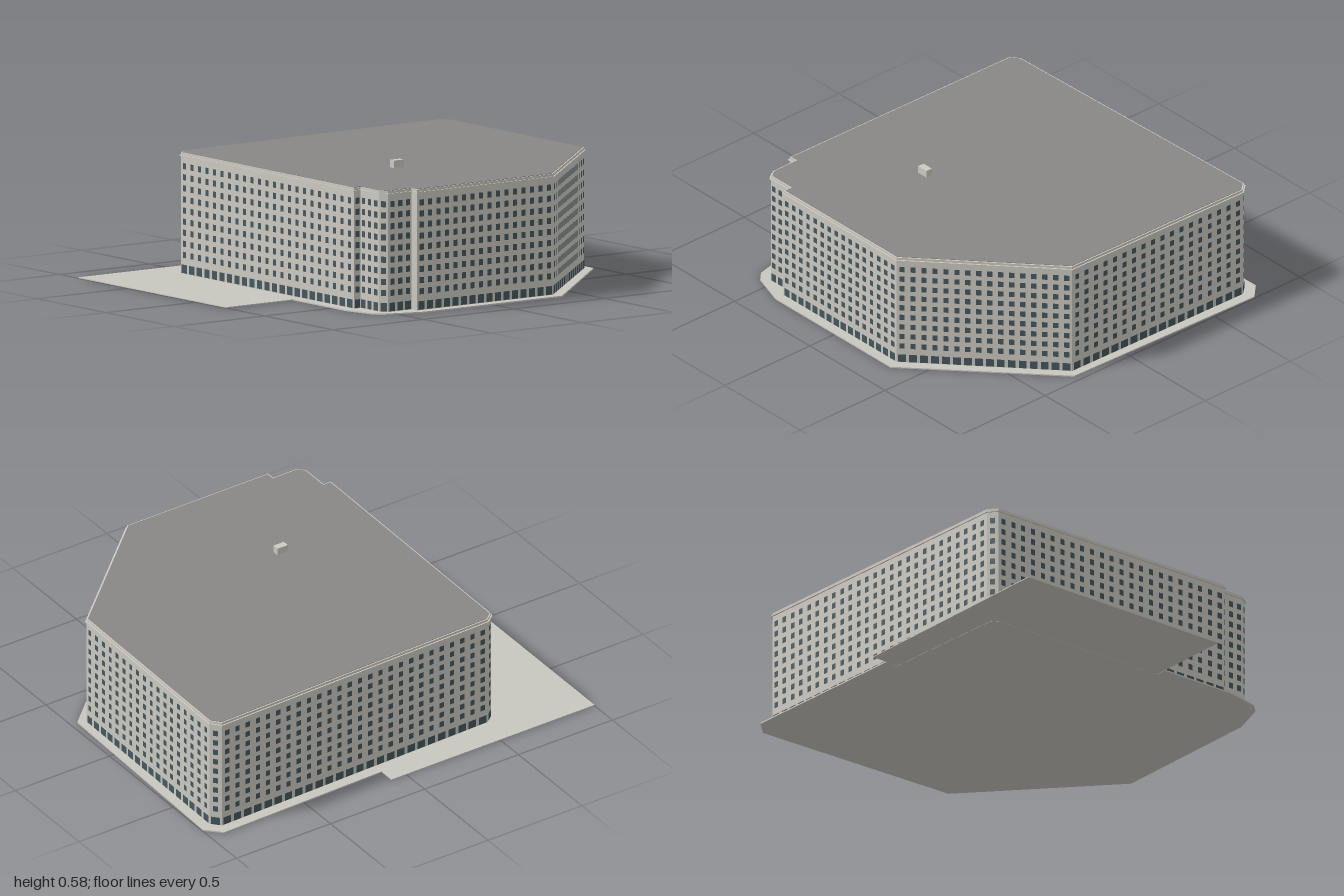
import * as THREE from 'three';
import { mergeGeometries } from 'three/addons/utils/BufferGeometryUtils.js';

const paint = (name, color) => {
  const m = new THREE.MeshStandardMaterial({ color });
  m.name = name;
  return m;
};

// Building footprint as [x, z, window columns on the wall that starts here]
const footprint = [
  [-0.57, -0.68, 1], [-0.53, -0.712, 26], [0.91, -0.752, 1], [0.947, -0.71, 18],
  [0.932, 0.28, 16], [0.36, 0.808, 16], [-0.39, 0.808, 0], [-0.39, 0.768, 3],
  [-0.52, 0.768, 1], [-0.545, 0.735, 3], [-0.545, 0.6, 1], [-0.583, 0.6, 23],
];

const pavement = [
  [-0.575, 0.22], [-0.63, 0.22], [-0.63, 0.61], [-0.595, 0.76], [-0.555, 0.8], [-0.39, 0.855],
  [0.375, 0.855], [0.968, 0.3], [0.997, -0.735], [0.93, -0.803], [0.08, -0.783],
  [0.08, -0.72], [-0.53, -0.7], [-0.565, -0.67],
];

// Moves a footprint outwards by d with mitred corners
function offset(points, d) {
  const normal = (a, b) => {
    const l = Math.hypot(b[0] - a[0], b[1] - a[1]);
    return [(b[1] - a[1]) / l, -(b[0] - a[0]) / l];
  };
  return points.map((p, i) => {
    const n = normal(points.at(i - 1), p);
    const m = normal(p, points[(i + 1) % points.length]);
    const k = d / (1 + n[0] * m[0] + n[1] * m[1]);
    return [p[0] + (n[0] + m[0]) * k, p[1] + (n[1] + m[1]) * k];
  });
}

// Upright prism over a ground outline
function prism(name, points, y0, y1, material) {
  const shape = new THREE.Shape(points.map(([x, z]) => new THREE.Vector2(x, -z)));
  const geo = new THREE.ExtrudeGeometry(shape, { depth: y1 - y0, bevelEnabled: false });
  geo.rotateX(-Math.PI / 2).translate(0, y0, 0);
  const mesh = new THREE.Mesh(geo, material);
  mesh.name = name;
  return mesh;
}

export function createModel() {
  const stone = paint('pale stone', 0xcbc9c0);
  const paving = paint('paving', 0xc8c7bf);
  const roofGrey = paint('roof grey', 0x888785);
  const glass = paint('dark glass', 0x44575f);
  const model = new THREE.Group();
  model.name = 'officeBlock';

  // Ground
  model.add(prism('pavement', pavement, 0, 0.006, paving));
  const yard = [[-1, -0.86], [0.08, -0.86], [0.08, 0.22], [-1, 0.22]];
  model.add(prism('yard', yard, 0.001, 0.005, paving));

  // Walls, ledge and roof
  model.add(prism('walls', footprint, 0.002, 0.545, stone));
  model.add(prism('ledge', offset(footprint, 0.006), 0.528, 0.534, stone));
  model.add(prism('roof', offset(footprint, -0.006), 0.54, 0.547, roofGrey));

  // Roof vent
  const vent = new THREE.Mesh(new THREE.BoxGeometry(0.055, 0.036, 0.032), stone);
  vent.name = 'roofVent';
  vent.position.set(-0.08, 0.563, 0.25);
  model.add(vent);

  // Windows: nine upper rows and a taller shopfront row on every wall
  const upper = [], ground = [];
  footprint.forEach(([x, z, columns], i) => {
    const [bx, bz] = footprint[(i + 1) % footprint.length];
    const dx = bx - x, dz = bz - z, length = Math.hypot(dx, dz);
    const nx = dz / length, nz = -dx / length;
    const pane = (t, y, w, h) => new THREE.PlaneGeometry(w, h)
      .rotateY(Math.atan2(nx, nz))
      .translate(x + dx * t + nx * 0.002, y, z + dz * t + nz * 0.002);
    for (let c = 0; c < columns; c++) {
      const t = (c + 0.5) / columns;
      for (let row = 0; row < 9; row++) upper.push(pane(t, 0.09 + row * 0.0495, 0.023, 0.027));
      ground.push(pane(t, 0.027, Math.min(0.04, (length / columns) * 0.72), 0.038));
    }
  });
  for (const [name, parts] of [['upperWindows', upper], ['groundFloorWindows', ground]]) {
    const mesh = new THREE.Mesh(mergeGeometries(parts), glass);
    mesh.name = name;
    model.add(mesh);
  }
  return model;
}
